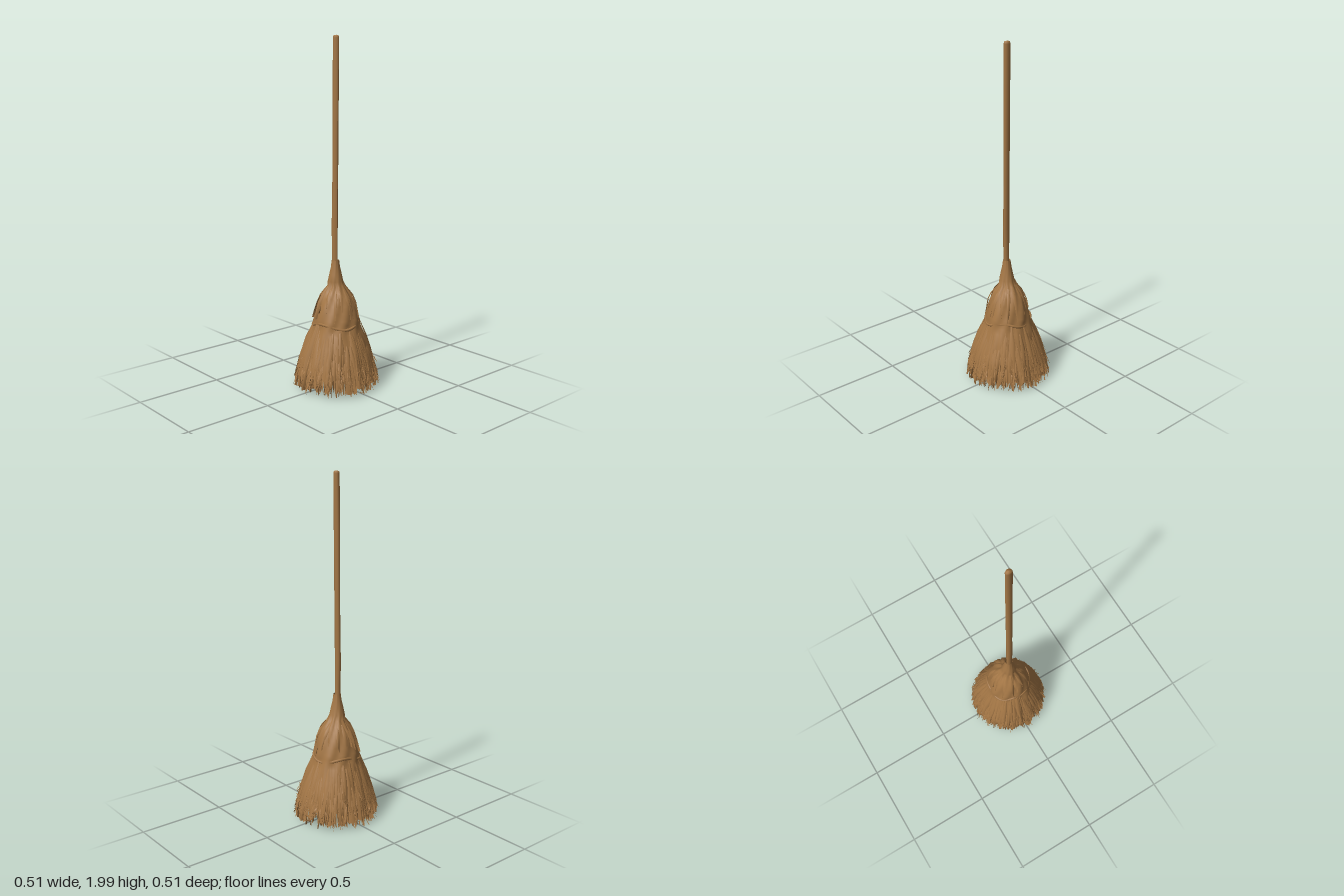
import * as THREE from 'three';

const straw = new THREE.MeshStandardMaterial({ color: 0xa37645, side: THREE.DoubleSide });
straw.name = 'straw brown';

// Small seeded random generator
let seed = 7;
const rand = (a = 0, b = 1) => {
  seed = (seed * 16807) % 2147483647;
  return a + (b - a) * (seed / 2147483647);
};

// Radius of the bristle head at each height
const headProfile = [
  [0, 0.237], [0.1, 0.222], [0.2, 0.197], [0.3, 0.163], [0.37, 0.135], [0.41, 0.13],
  [0.5, 0.105], [0.56, 0.079], [0.6, 0.05], [0.66, 0.037], [0.71, 0.026], [0.76, 0.019],
];
function headRadius(y) {
  for (let i = 1; i < headProfile.length; i++) {
    const [y0, r0] = headProfile[i - 1], [y1, r1] = headProfile[i];
    if (y <= y1) return r0 + (r1 - r0) * (y - y0) / (y1 - y0);
  }
  return 0.019;
}

function buildGeometry(positions, indices) {
  const g = new THREE.BufferGeometry();
  g.setAttribute('position', new THREE.Float32BufferAttribute(positions, 3));
  g.setIndex(indices);
  g.computeVertexNormals();
  return g;
}

// Skin a grid of points: point(row, column) returns [x, y, z]; rows go upwards
function loft(rows, cols, point) {
  const pos = [], idx = [];
  for (let r = 0; r < rows; r++) for (let c = 0; c <= cols; c++) pos.push(...point(r, c % cols));
  for (let r = 0; r < rows - 1; r++) for (let c = 0; c < cols; c++) {
    const a = r * (cols + 1) + c, b = a + cols + 1;
    idx.push(a, b, a + 1, b, b + 1, a + 1);
  }
  return buildGeometry(pos, idx);
}

// Tapered straws, each folded along a middle ridge and following the head
function strawLayer(count, o) {
  const pos = [], idx = [], steps = 4;
  for (let i = 0; i < count; i++) {
    const clump = Math.floor(rand(0, 23));
    const angle = o.clumped
      ? (clump + 0.5 + rand(-0.36, 0.36)) / 23 * Math.PI * 2
      : (i + rand(-0.4, 0.4)) / count * Math.PI * 2;
    const top = rand(...o.top), tip = rand(...o.tip), width = rand(...o.width);
    const lift = rand(...o.lift), flare = rand(...o.flare), lean = rand(-0.07, 0.07);
    const twist = rand(-0.5, 0.5) * width;
    const base = pos.length / 3;
    for (let s = 0; s <= steps; s++) {
      const t = s / steps, y = top + (tip - top) * t;
      const w = width * (s === 0 ? 0.3 : Math.pow(1 - t, 0.6)) + 0.0008;
      const r = headRadius(y) + lift * Math.sin(Math.PI * Math.min(1, t + 0.08)) + flare * t * t;
      for (let k = -1; k <= 1; k++) {
        const a = angle + lean * t * t + k * w / 2 / r;
        const rr = r + (k === 0 ? w * 0.25 : 0) + k * twist * t;
        pos.push(Math.sin(a) * rr, y, Math.cos(a) * rr);
      }
    }
    for (let s = 0; s < steps; s++) for (let k = 0; k < 2; k++) {
      const a = base + s * 3 + k;
      idx.push(a, a + 3, a + 1, a + 1, a + 3, a + 4);
    }
  }
  return buildGeometry(pos, idx);
}

export function createModel() {
  const broom = new THREE.Group();
  const add = (name, geometry) => {
    const mesh = new THREE.Mesh(geometry, straw);
    mesh.name = name;
    broom.add(mesh);
  };

  // Handle: slightly bowed stick with an uneven oval section [y, rx, rz, cx, cz]
  const stick = [
    [0.6, 0.018, 0.016, 0, 0.01], [0.8, 0.018, 0.015, 0, 0.011], [0.95, 0.02, 0.015, 0, 0.013],
    [1.1, 0.019, 0.014, 0, 0.011], [1.4, 0.019, 0.014, 0, 0.008], [1.7, 0.02, 0.014, 0, 0.005],
    [1.985, 0.02, 0.015, 0, 0.002], [1.997, 0.016, 0.012, 0, 0.002], [2.0, 0.0005, 0.0005, 0, 0.002],
  ];
  add('handle', loft(stick.length, 10, (r, c) => {
    const [y, rx, rz, cx, cz] = stick[r], a = -c / 10 * Math.PI * 2;
    const k = 1 + 0.05 * Math.sin(a * 3 + r);
    return [cx + Math.cos(a) * rx * k, y, cz + Math.sin(a) * rz * k];
  }));

  // Bristle skirt: hollow creased shell with a ragged hem
  const cols = 138;
  const heights = [0.05, 0.12, 0.2, 0.28, 0.34, 0.37, 0.395, 0.42, 0.46, 0.5, 0.54, 0.57, 0.6, 0.63, 0.67, 0.71, 0.75];
  const hem = Array.from({ length: cols }, (_, c) => (c % 6 === 0 ? rand(0.1, 0.17) : rand(0.015, 0.075)));
  const crease = Array.from({ length: cols }, () => rand(-1, 1));
  add('bristleSkirt', loft(heights.length, cols, (r, c) => {
    const a = -c / cols * Math.PI * 2;
    const y = r === 0 ? hem[c] : heights[r];
    const low = Math.max(0, 1 - y / 0.36);
    const folds = 0.007 * Math.sin(a * 7 + y * 9) * Math.sin(a * 3 + y * 21);
    const clump = 0.009 * low * (Math.abs(Math.sin(a * 11.5)) - 0.6);
    const body = y > 0.6 ? 0.15 : 1;
    const radius = headRadius(y) + folds * body + clump + crease[c] * 0.009 * low;
    const shift = y > 0.6 ? 0.007 : 0;
    return [Math.cos(a) * radius, y, Math.sin(a) * radius + shift];
  }));

  // Broad straws that make the body of the hem
  add('broadStraws', strawLayer(90, {
    top: [0.24, 0.4], tip: [0.015, 0.07], width: [0.02, 0.036],
    lift: [0.001, 0.008], flare: [-0.008, 0.006],
  }));
  // Thin splinters gathered in clumps
  add('thinStraws', strawLayer(420, {
    top: [0.1, 0.27], tip: [0.012, 0.1], width: [0.005, 0.013],
    lift: [0.002, 0.012], flare: [-0.012, 0.016], clumped: true,
  }));
  // Stray wisps sticking out
  add('wisps', strawLayer(130, {
    top: [0.1, 0.26], tip: [0.012, 0.19], width: [0.003, 0.007],
    lift: [0.002, 0.008], flare: [0.008, 0.026], clumped: true,
  }));
  // Inner straws behind the hem
  add('innerStraws', strawLayer(110, {
    top: [0.16, 0.28], tip: [0.012, 0.06], width: [0.01, 0.022],
    lift: [-0.014, -0.004], flare: [-0.03, -0.008],
  }));
  // Folded straw ends over the shoulders
  add('shoulderFolds', strawLayer(17, {
    top: [0.56, 0.61], tip: [0.4, 0.47], width: [0.018, 0.032],
    lift: [0.003, 0.009], flare: [-0.004, 0.002],
  }));

  // Bound rim under the shoulders: a loose uneven twist of straw
  const loop = [];
  for (let i = 0; i < 28; i++) {
    const a = i / 28 * Math.PI * 2, y = 0.385 + 0.014 * Math.sin(a * 3 + 1);
    const r = headRadius(y) - 0.003 + 0.004 * Math.sin(a * 5);
    loop.push(new THREE.Vector3(Math.sin(a) * r, y, Math.cos(a) * r));
  }
  add('binding', new THREE.TubeGeometry(new THREE.CatmullRomCurve3(loop, true), 84, 0.008, 6, true));

  return broom;
}
